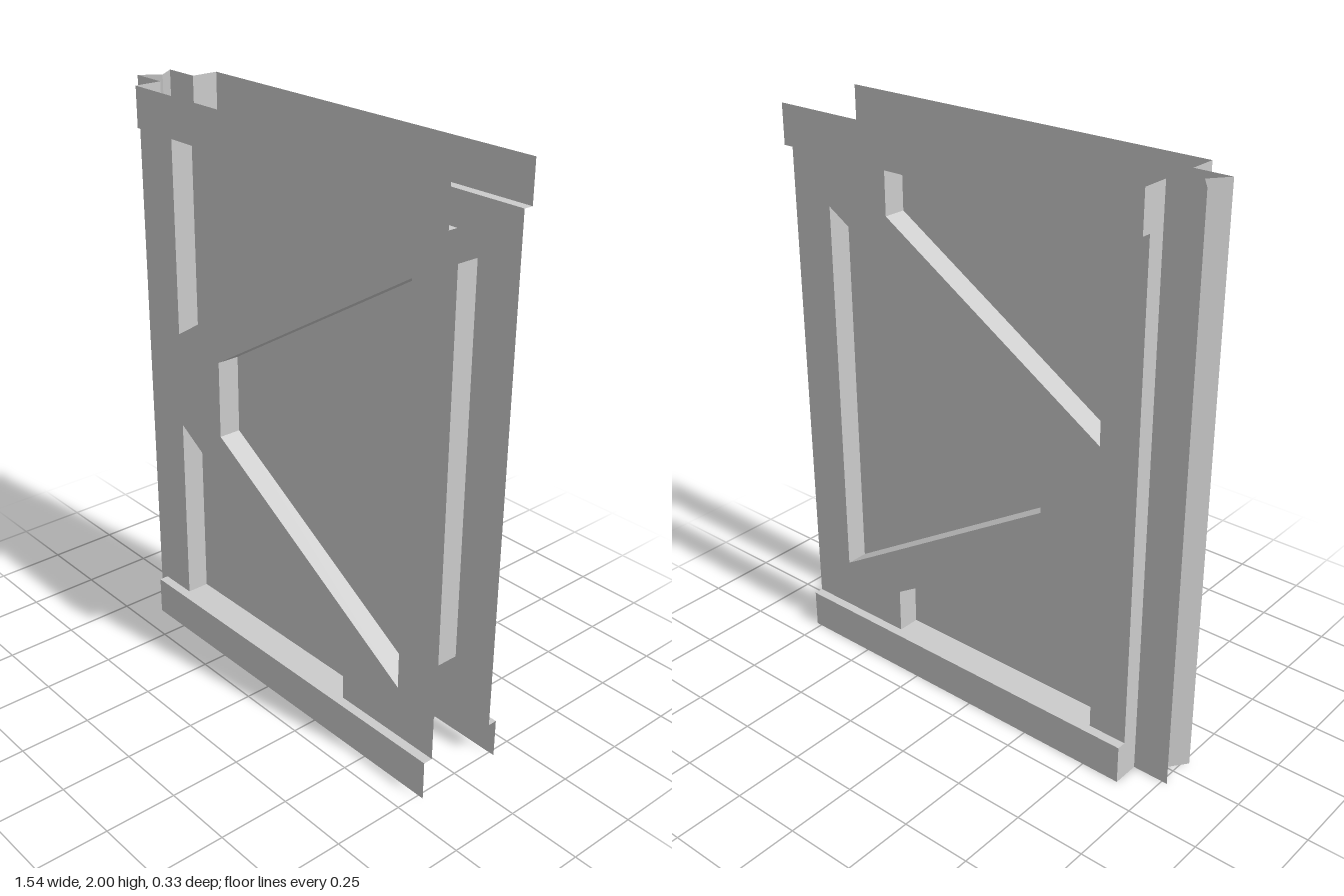
import * as THREE from 'three';

const material = new THREE.MeshStandardMaterial({ color: 0xcccccc, side: THREE.DoubleSide, flatShading: true });

const H = 2, X0 = -0.64, X1 = 0.77;              // height and extent of the main faces
const RAIL = 0.138;                              // rail height
const Z_RAIL = 0.163, Z_FACE = 0.13, Z_PANEL = 0.05, Z_EDGE = 0.066;

function addMesh(parent, name, geometry) {
  const mesh = new THREE.Mesh(geometry, material);
  mesh.name = name;
  parent.add(mesh);
  return mesh;
}

// Sheet swept from a polyline of [x, y, z] points along a straight offset
function ribbon(points, [dx, dy, dz]) {
  const pos = [], index = [];
  points.forEach(([x, y, z], i) => {
    pos.push(x, y, z, x + dx, y + dy, z + dz);
    if (i > 0) {
      const a = 2 * i - 2;
      index.push(a, a + 2, a + 1, a + 1, a + 2, a + 3);
    }
  });
  const g = new THREE.BufferGeometry();
  g.setAttribute('position', new THREE.Float32BufferAttribute(pos, 3));
  g.setIndex(index);
  const flat = g.toNonIndexed();
  flat.computeVertexNormals();
  return flat;
}

const toShape = (pts) => new THREE.Shape(pts.map(([x, y]) => new THREE.Vector2(x, y)));
const flipY = (pts) => pts.map(([x, y]) => [x, H - y]).reverse();

// Outlines of the three recesses
const lower = [[-0.5, RAIL], [-0.5, 0.828], [0.355, 0.3], [0.355, RAIL]];
const upper = flipY(lower);
const middle = [[-0.28, 0.863], [-0.28, 1.137], [0.61, 1.68], [0.61, 0.32]];

// One side of the door, facing +z
function createSide(name) {
  const side = new THREE.Group();
  side.name = name;

  // Bracing face, notched at top and bottom, with the middle opening cut out
  const outline = toShape([
    [X0, RAIL], ...lower, [X1, RAIL],
    [X1, H - RAIL], ...upper, [X0, H - RAIL],
  ]);
  outline.holes.push(new THREE.Path(middle.map(([x, y]) => new THREE.Vector2(x, y))));
  addMesh(side, 'bracedFace', new THREE.ShapeGeometry(outline)).position.z = Z_FACE;

  // Recessed panels and their surrounding walls
  for (const [label, pts] of [['lower', lower], ['middle', middle], ['upper', upper]]) {
    addMesh(side, label + 'Panel', new THREE.ShapeGeometry(toShape(pts))).position.z = Z_PANEL;
    const loop = [...pts, pts[0]].map(([x, y]) => [x, y, Z_PANEL]);
    addMesh(side, label + 'RecessWall', ribbon(loop, [0, 0, Z_FACE - Z_PANEL]));
  }

  // Raised rails: ledge, outer face and closed end
  for (const [label, inner, outer] of [['bottom', RAIL, 0], ['top', H - RAIL, H]]) {
    addMesh(side, label + 'Rail',
      ribbon([[X0, inner, Z_FACE], [X0, inner, Z_RAIL], [X0, outer, Z_RAIL]], [X1 - X0, 0, 0]));
    addMesh(side, label + 'RailEnd',
      ribbon([[X0, inner, Z_FACE], [X0, inner, Z_RAIL]], [0, outer - inner, 0]));
  }
  return side;
}

export function createModel() {
  const door = new THREE.Group();
  door.name = 'door';

  const front = createSide('frontSide');
  const back = createSide('backSide');
  back.scale.z = -1;
  door.add(front, back);

  // Stepped closing edge with a V groove
  const half = [[X0, 0, Z_FACE], [X0, 0, Z_EDGE], [-0.77, 0, Z_EDGE]];
  const mirrored = half.map(([x, y, z]) => [x, y, -z]).reverse();
  addMesh(door, 'groovedEdge', ribbon([...half, [-0.72, 0, 0], ...mirrored], [0, H, 0]));

  return door;
}
